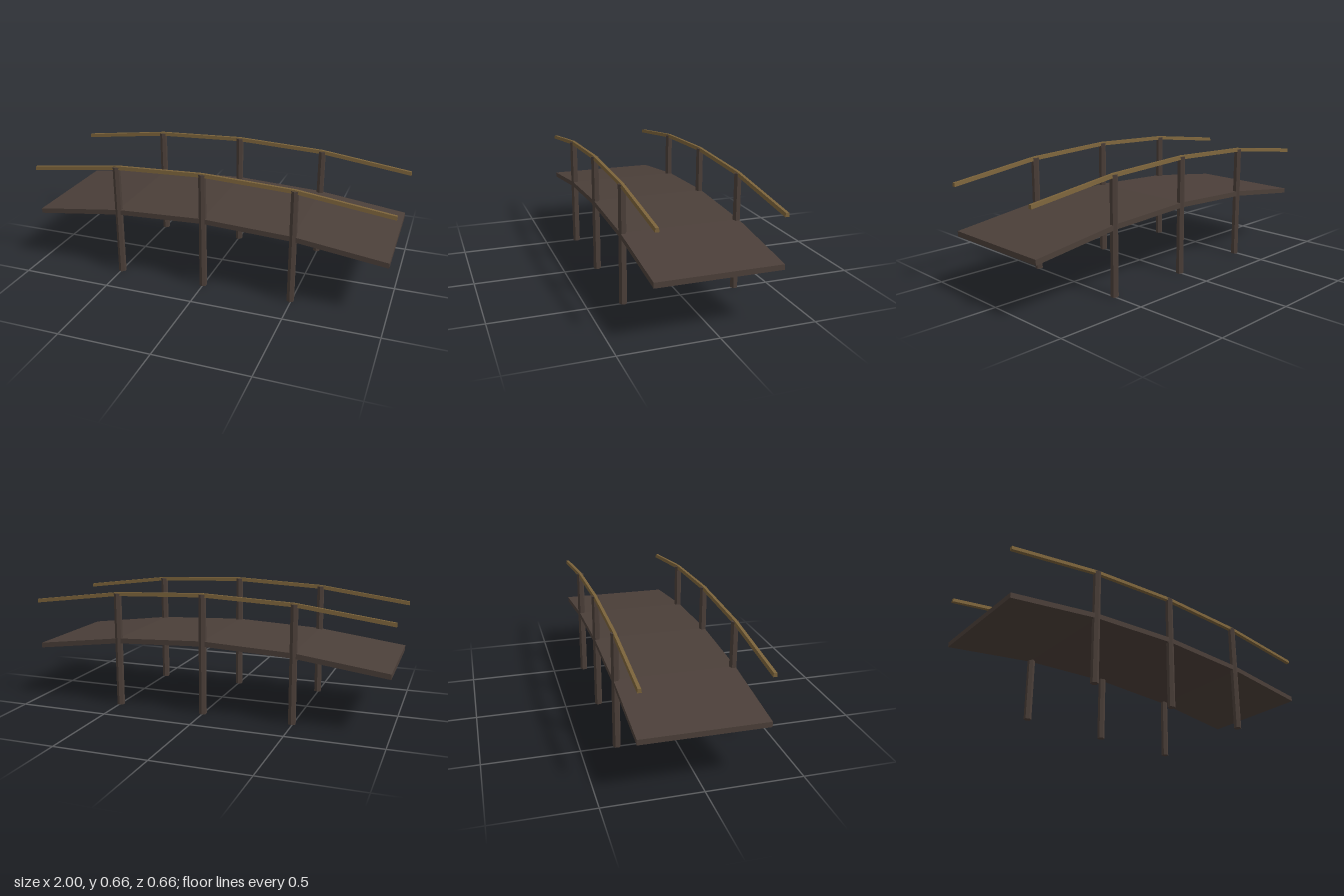
import * as THREE from 'three';

const darkWood = new THREE.MeshStandardMaterial({ color: 0x4b3f39, flatShading: true });
darkWood.name = 'dark wood';
const railWood = new THREE.MeshStandardMaterial({ color: 0x7a623a, flatShading: true });
railWood.name = 'rail wood';

// Sweeps a [z, y] section (counter-clockwise seen from +x, with -z to the right) along [x, y] stations.
function sweep(name, section, path, material) {
  const n = section.length, pos = [], index = [];
  for (const [x, y] of path) for (const [z, dy] of section) pos.push(x, y + dy, z);
  for (let i = 0; i < path.length - 1; i++) {
    for (let j = 0; j < n; j++) {
      const a = i * n + j, b = i * n + (j + 1) % n;
      index.push(a, b, b + n, a, b + n, a + n);
    }
  }
  const last = (path.length - 1) * n;
  for (let j = 1; j < n - 1; j++) {
    index.push(0, j + 1, j, last, last + j, last + j + 1);
  }
  const indexed = new THREE.BufferGeometry();
  indexed.setAttribute('position', new THREE.Float32BufferAttribute(pos, 3));
  indexed.setIndex(index);
  const geometry = indexed.toNonIndexed();
  geometry.computeVertexNormals();
  const mesh = new THREE.Mesh(geometry, material);
  mesh.name = name;
  return mesh;
}

export function createModel() {
  const group = new THREE.Group();
  group.name = 'footbridge';

  // Arched walkway, heights are of its top surface
  const w = 0.322, t = 0.028;
  group.add(sweep('deck', [[w, -t], [-w, -t], [-w, 0], [w, 0]],
    [[-0.988, 0.317], [-0.495, 0.381], [0, 0.403], [0.495, 0.381], [0.988, 0.317]], darkWood));

  for (const side of [-1, 1]) {
    const label = side > 0 ? 'front' : 'back';
    const z = side * 0.311;

    // Handrail, slightly narrower on top
    group.add(sweep(label + 'Handrail',
      [[z + 0.0105, -0.02], [z - 0.0105, -0.02], [z - 0.008, 0], [z + 0.008, 0]],
      [[-1, 0.571], [-0.495, 0.637], [0, 0.658], [0.495, 0.637], [1, 0.571]], railWood));

    // Six-sided posts from the ground up to the handrail
    for (const [x, height] of [[-0.495, 0.63], [0, 0.652], [0.495, 0.63]]) {
      const post = new THREE.Mesh(new THREE.CylinderGeometry(0.0205, 0.021, height, 6), darkWood);
      post.name = label + 'Post';
      post.position.set(x, height / 2, side * 0.31);
      group.add(post);
    }
  }
  return group;
}
